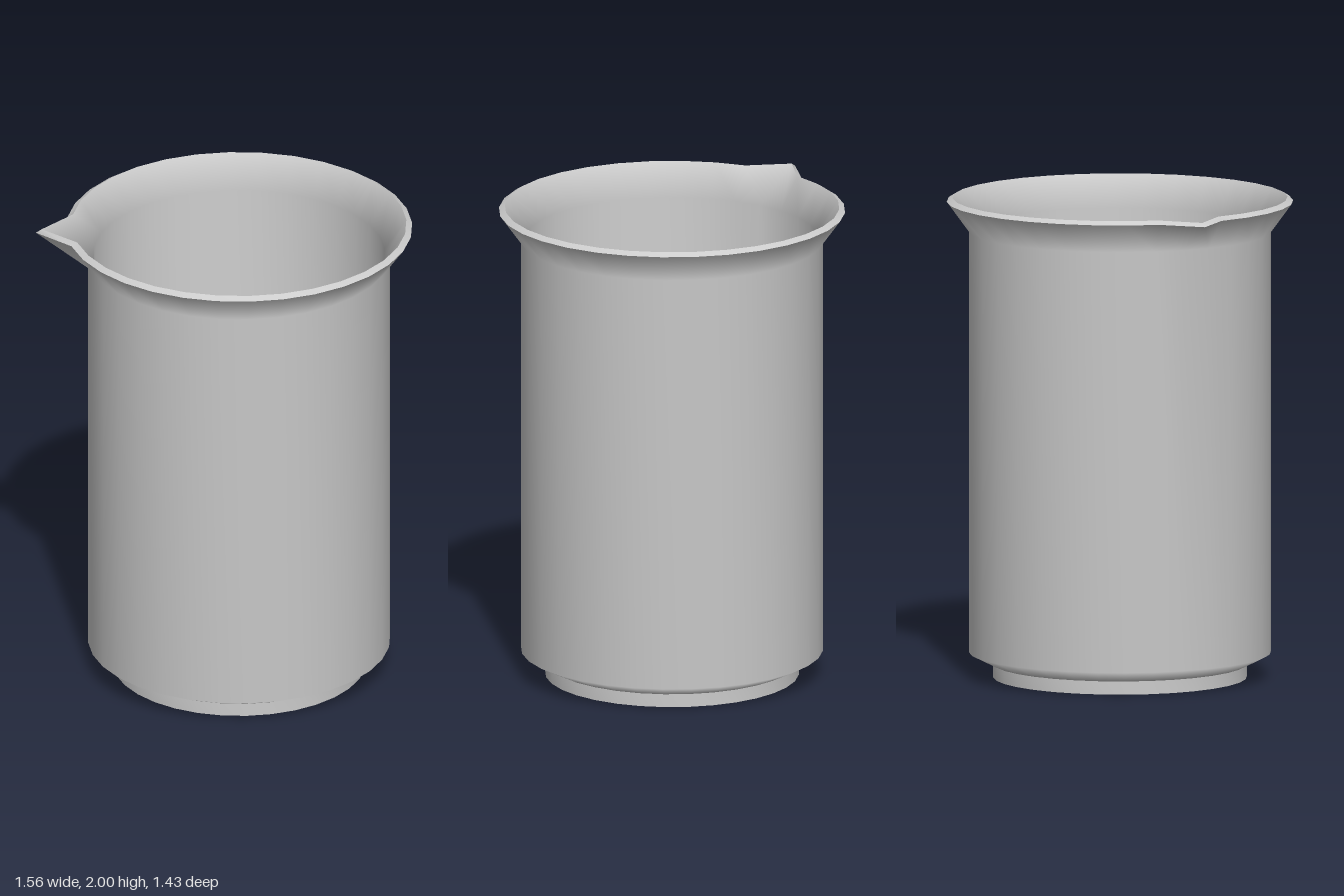
import * as THREE from 'three';
import { mergeVertices } from 'three/addons/utils/BufferGeometryUtils.js';

const SEGMENTS = 32;
const SPOUT_REACH = 0.125; // how far the lip is pulled out at the spout

// Turned surface whose flared lip is drawn out to a point on the -x side
function turned(name, profile, material) {
  let geo = new THREE.LatheGeometry(profile.map(([r, y]) => new THREE.Vector2(r, y)), SEGMENTS);
  const pos = geo.attributes.position;
  for (let i = 0; i < pos.count; i++) {
    const onSpout = pos.getX(i) < 0 && Math.abs(pos.getZ(i)) < 0.01;
    if (onSpout && pos.getY(i) > 1.95) pos.setX(i, pos.getX(i) - SPOUT_REACH);
  }
  // weld the seam so the shading runs smoothly all the way round
  geo.deleteAttribute('uv');
  geo.deleteAttribute('normal');
  geo = mergeVertices(geo);
  geo.computeVertexNormals();
  const mesh = new THREE.Mesh(geo, material);
  mesh.name = name;
  return mesh;
}

export function createModel() {
  const material = new THREE.MeshStandardMaterial({ color: 0xcccccc });
  const beaker = new THREE.Group();
  beaker.name = 'beaker';

  // Profiles are [radius, height]; each runs so that its faces point out of the wall
  const parts = {
    underside: [[0, 0], [0.525, 0]],
    foot: [[0.525, 0], [0.525, 0.055]],
    outerWall: [[0.525, 0.055], [0.625, 0.105], [0.625, 1.86], [0.716, 1.985]],
    rim: [[0.716, 1.985], [0.692, 2]],
    innerWall: [[0.692, 2], [0.602, 1.868], [0.602, 0.12], [0.503, 0.07], [0.503, 0.025], [0, 0.025]],
  };
  for (const [name, profile] of Object.entries(parts)) {
    const mesh = turned(name, profile, material);
    mesh.position.x = 0.062; // balances the spout's overhang
    beaker.add(mesh);
  }
  return beaker;
}
